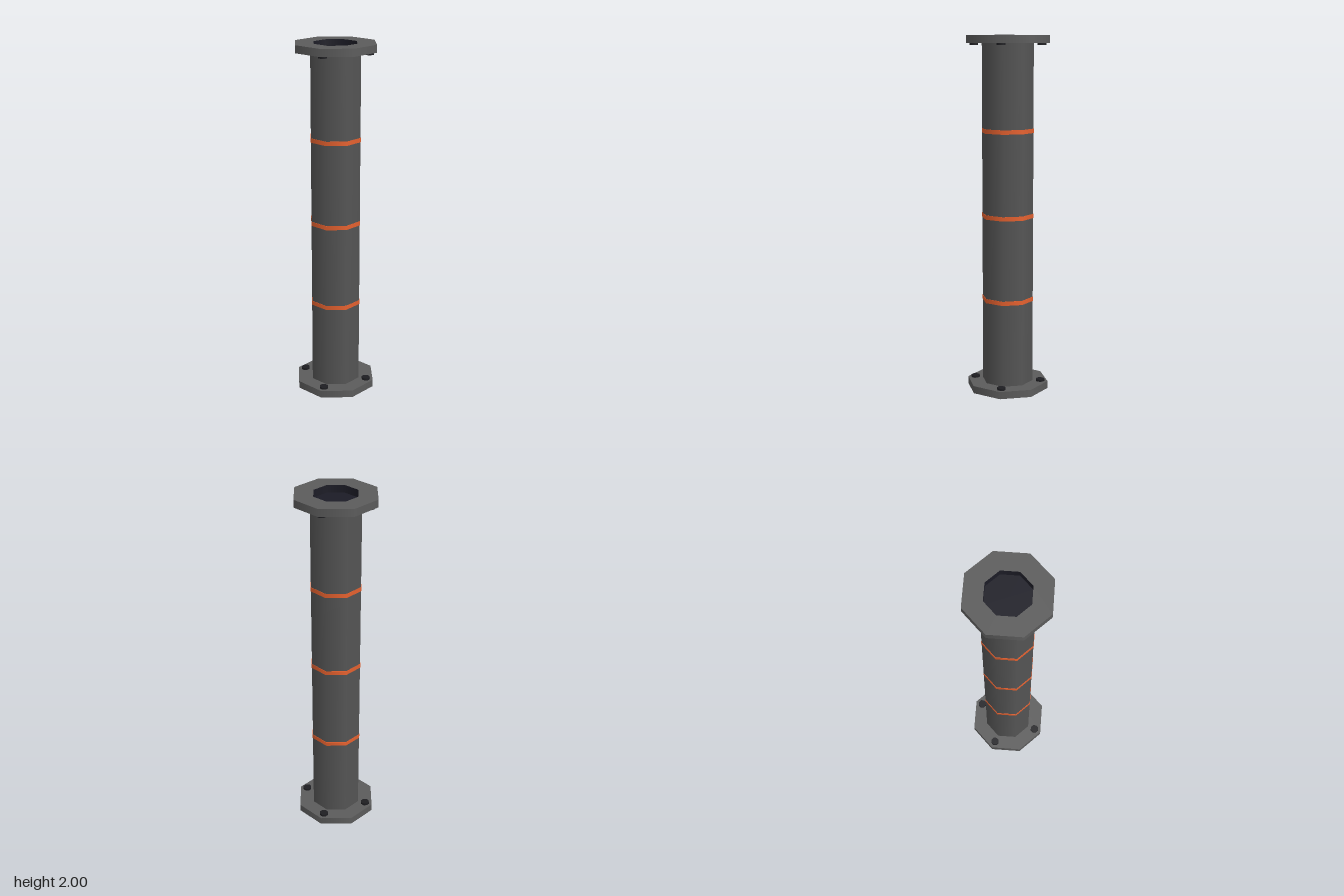
import * as THREE from 'three';
import { mergeGeometries } from 'three/addons/utils/BufferGeometryUtils.js';

const SIDES = 8, PIPE_R = 0.145, BORE_R = 0.125, FLANGE_R = 0.233, FLANGE_H = 0.042;

function material(name, color, side = THREE.FrontSide) {
  const m = new THREE.MeshStandardMaterial({ color, side });
  m.name = name;
  return m;
}

function addMesh(parent, name, geometry, mat, x = 0, y = 0, z = 0) {
  const mesh = new THREE.Mesh(geometry, mat);
  mesh.name = name;
  mesh.position.set(x, y, z);
  parent.add(mesh);
  return mesh;
}

// Octagonal disc with an octagonal hole, standing on y = 0
function flangeGeometry() {
  const rim = new THREE.CylinderGeometry(FLANGE_R, FLANGE_R, FLANGE_H, SIDES, 1, true).translate(0, FLANGE_H / 2, 0);
  const ring = () => new THREE.RingGeometry(BORE_R, FLANGE_R, SIDES);
  const top = ring().rotateX(-Math.PI / 2).translate(0, FLANGE_H, 0);
  const bottom = ring().rotateX(Math.PI / 2);
  return mergeGeometries([rim, top, bottom]);
}

export function createModel() {
  const group = new THREE.Group();
  group.name = 'flangedPipe';
  const pipeMat = material('pipe grey', 0x555555);
  const flangeMat = material('flange grey', 0x5c5c5c);
  const darkMat = material('bore dark', 0x1c1c26, THREE.DoubleSide);
  const boltMat = material('bolt dark', 0x1e1e22);
  const bandMat = material('band orange', 0xe8622f);

  // Main tube between the two flanges
  const pipeH = 2 - 2 * FLANGE_H;
  addMesh(group, 'pipe', new THREE.CylinderGeometry(PIPE_R, PIPE_R, pipeH, SIDES, 1, true), pipeMat, 0, 1, 0);

  // Painted rings
  const bandGeo = new THREE.CylinderGeometry(0.147, 0.147, 0.024, SIDES, 1);
  for (const y of [0.525, 1.003, 1.48]) addMesh(group, 'band', bandGeo, bandMat, 0, y, 0);

  // One end: flange, recessed bore and four bolts; the upper end is turned over
  const flangeGeo = flangeGeometry();
  const wallGeo = new THREE.CylinderGeometry(BORE_R, BORE_R, FLANGE_H, SIDES, 1, true);
  const floorGeo = new THREE.CircleGeometry(BORE_R, SIDES).rotateX(Math.PI / 2);
  const boltGeo = new THREE.CylinderGeometry(0.025, 0.025, 0.012, SIDES);
  for (const upper of [false, true]) {
    const end = new THREE.Group();
    end.name = upper ? 'upperEnd' : 'lowerEnd';
    addMesh(end, 'flange', flangeGeo, flangeMat);
    addMesh(end, 'boreWall', wallGeo, darkMat, 0, FLANGE_H / 2, 0);
    addMesh(end, 'boreFloor', floorGeo, darkMat, 0, FLANGE_H, 0);
    for (let i = 0; i < 4; i++) {
      const a = i * Math.PI / 2;
      addMesh(end, 'bolt', boltGeo, boltMat, 0.19 * Math.cos(a), FLANGE_H + 0.006, 0.19 * Math.sin(a));
    }
    if (upper) {
      end.rotation.x = Math.PI;
      end.position.y = 2;
    }
    group.add(end);
  }
  return group;
}
